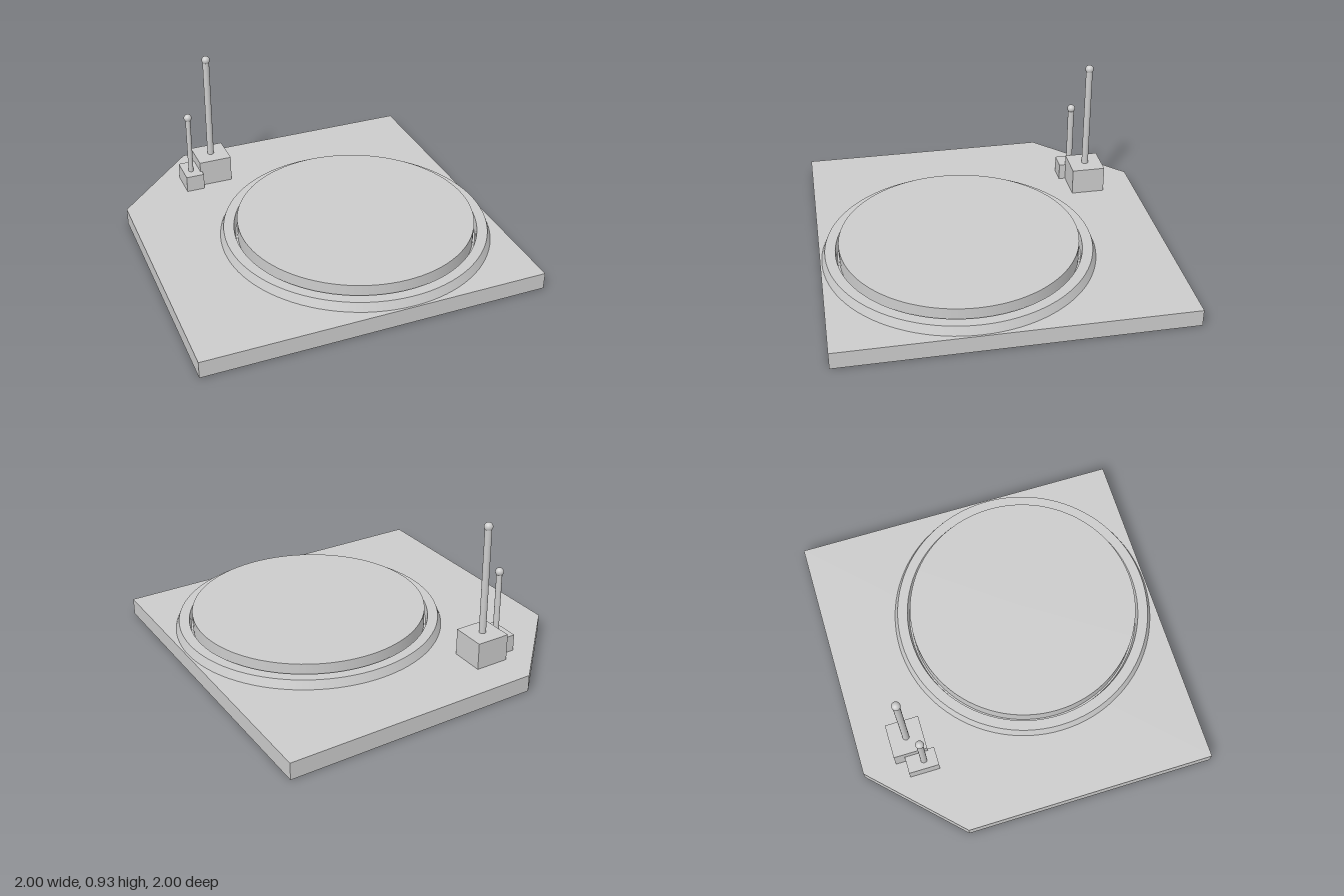
import * as THREE from 'three';

export function createModel() {
  const model = new THREE.Group();
  const mat = new THREE.MeshStandardMaterial({ color: 0xcccccc });
  const add = (name, geometry, x, y, z, parent = model) => {
    const mesh = new THREE.Mesh(geometry, mat);
    mesh.name = name;
    mesh.position.set(x, y, z);
    parent.add(mesh);
    return mesh;
  };

  // Square slab with the back right corner cut off (shape y becomes -z)
  const outline = new THREE.Shape([
    [-1, -1], [1, -1], [1, 1], [-0.5, 1], [-1, 0.5],
  ].map(([x, y]) => new THREE.Vector2(x, y)));
  const slab = new THREE.ExtrudeGeometry(outline, { depth: 0.1, bevelEnabled: false });
  add('baseSlab', slab.rotateX(-Math.PI / 2), 0, 0, 0);

  // Sloped rim: each face is its own lathe strip so the edges stay sharp
  const rim = new THREE.Group();
  rim.name = 'rim';
  rim.position.set(0.2, 0.1, 0.2);
  model.add(rim);
  const profile = [[0.79, 0], [0.77, 0.05], [0.71, 0.05], [0.7, 0]]
    .map(([r, y]) => new THREE.Vector2(r, y));
  ['rimOuterSlope', 'rimTop', 'rimInnerWall'].forEach((name, i) => {
    add(name, new THREE.LatheGeometry(profile.slice(i, i + 2), 96), 0, 0, 0, rim);
  });

  // Raised round platform inside the rim
  add('platform', new THREE.CylinderGeometry(0.69, 0.69, 0.1, 96), 0.2, 0.15, 0.2);

  // Block with a ball-topped mast
  const addMast = (name, block, pole) => {
    const mast = new THREE.Group();
    mast.name = name;
    model.add(mast);
    const height = block.top - 0.1;
    add('block', new THREE.BoxGeometry(block.w, height, block.d),
      block.x, 0.1 + height / 2, block.z, mast);
    const length = pole.top - block.top;
    const rod = add('pole', new THREE.CylinderGeometry(1, 1, length, 32),
      pole.x, block.top + length / 2, pole.z, mast);
    rod.scale.set(pole.rx, 1, pole.rz);
    add('ball', new THREE.SphereGeometry(pole.ball, 32, 16), pole.x, pole.top, pole.z, mast);
  };
  addMast('tallMast',
    { x: -0.4, z: -0.7, w: 0.2, d: 0.2, top: 0.26 },
    { x: -0.4, z: -0.7, rx: 0.02, rz: 0.02, top: 0.903, ball: 0.025 });
  addMast('shortMast',
    { x: -0.545, z: -0.65, w: 0.11, d: 0.18, top: 0.2 },
    { x: -0.55, z: -0.637, rx: 0.015, rz: 0.019, top: 0.57, ball: 0.024 });

  return model;
}
